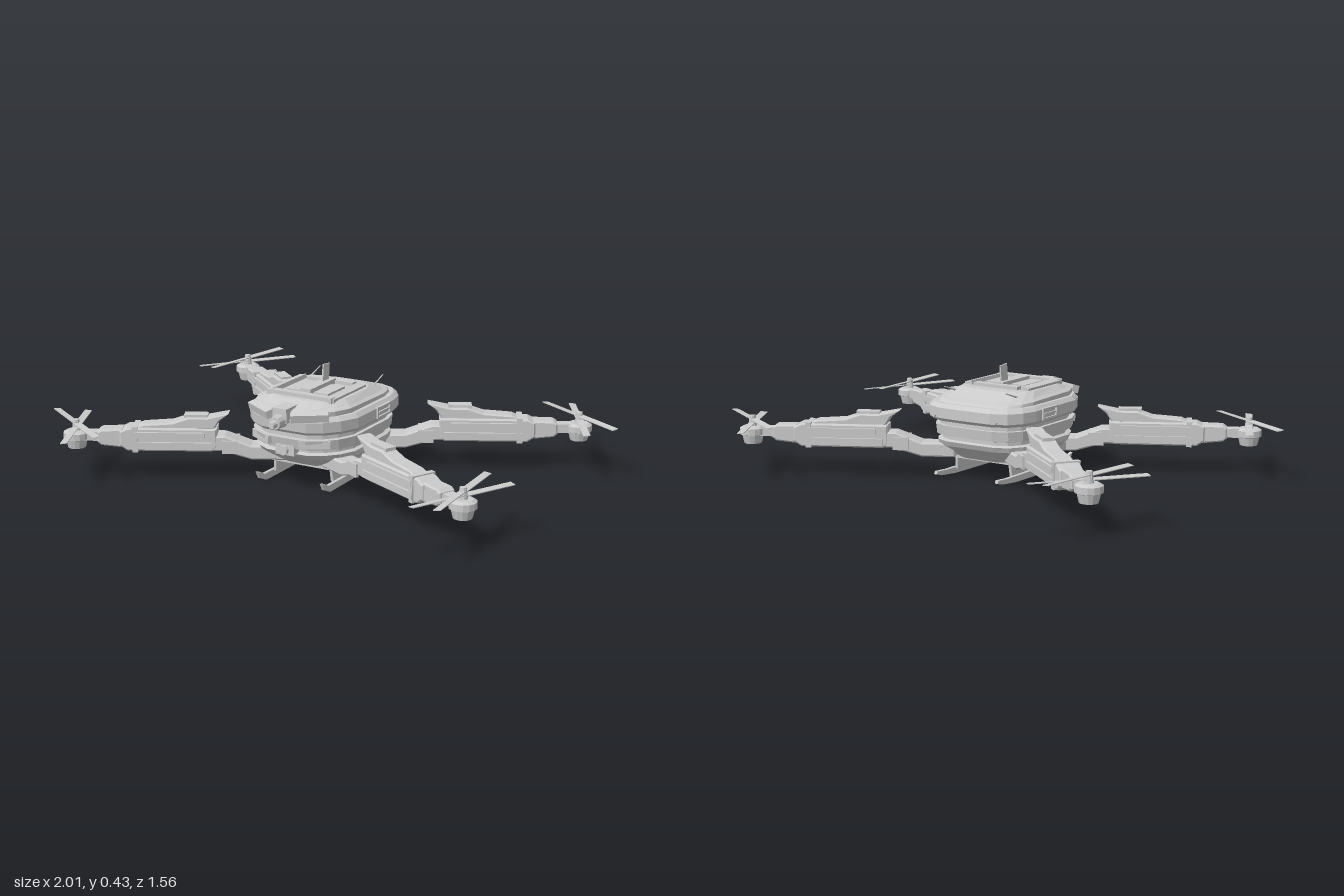
import * as THREE from 'three';

const mat = new THREE.MeshStandardMaterial({ color: 0xcccccc, flatShading: true, side: THREE.DoubleSide });

function add(parent, name, geo, x = 0, y = 0, z = 0) {
  const m = new THREE.Mesh(geo, mat);
  m.name = name;
  m.position.set(x, y, z);
  parent.add(m);
  return m;
}
const box = (parent, name, w, h, d, x, y, z) => add(parent, name, new THREE.BoxGeometry(w, h, d), x, y, z);

// Side profile in x/y, extruded to a centred width with a small chamfer
function slab(points, width, bevel = 0.006) {
  const shape = new THREE.Shape(points.map(p => new THREE.Vector2(p[0], p[1])));
  const depth = width - 2 * bevel;
  return new THREE.ExtrudeGeometry(shape, {
    depth, bevelEnabled: bevel > 0, bevelSize: bevel, bevelThickness: bevel, bevelOffset: -bevel, bevelSegments: 1,
  }).translate(0, 0, -depth / 2);
}

// Half plan of the hull (x, z), mirrored into a closed outline
const half = [[0, 1], [0.42, 0.99], [0.66, 0.88], [0.86, 0.7], [1, 0.45], [1, -0.5], [0.93, -0.72], [0.77, -0.9], [0.5, -0.99], [0, -1]];
const plan = [...half, ...half.slice(1, -1).reverse().map(([x, z]) => [-x, z])];

// Stacked rings [y, half width, front z, back z, rearDrop] joined into a closed hull
function loft(rings) {
  const pts = rings.map(([y, w, f, b, drop = 0]) => plan.map(([u, v]) =>
    [u * w, y - drop * Math.max(0, -v), (f + b) / 2 + v * (f - b) / 2]));
  const n = plan.length, pos = [];
  for (let i = 0; i < rings.length - 1; i++) for (let j = 0; j < n; j++) {
    const k = (j + 1) % n, a = pts[i][j], b = pts[i][k], c = pts[i + 1][k], d = pts[i + 1][j];
    pos.push(...a, ...b, ...c, ...a, ...c, ...d);
  }
  const lo = pts[0], hi = pts[pts.length - 1];
  for (let j = 1; j < n - 1; j++) {
    pos.push(...lo[0], ...lo[j + 1], ...lo[j]);
    pos.push(...hi[0], ...hi[j], ...hi[j + 1]);
  }
  const g = new THREE.BufferGeometry();
  g.setAttribute('position', new THREE.Float32BufferAttribute(pos, 3));
  g.computeVertexNormals();
  return g;
}

function makeBody() {
  const body = new THREE.Group();
  body.name = 'body';
  body.position.x = -0.02;
  add(body, 'lowerHull', loft([
    [0.075, 0.14, 0.23, -0.1], [0.1, 0.185, 0.27, -0.13], [0.13, 0.21, 0.32, -0.17], [0.15, 0.21, 0.34, -0.18],
    [0.155, 0.195, 0.32, -0.165], [0.168, 0.195, 0.32, -0.165], [0.173, 0.212, 0.35, -0.185], [0.212, 0.215, 0.36, -0.19],
  ]));
  add(body, 'waist', loft([[0.21, 0.2, 0.335, -0.175], [0.24, 0.2, 0.335, -0.175]]));
  add(body, 'upperHull', loft([
    [0.232, 0.218, 0.35, -0.2], [0.245, 0.23, 0.365, -0.215], [0.285, 0.23, 0.37, -0.215], [0.3, 0.215, 0.36, -0.2],
  ]));
  add(body, 'canopy', loft([
    [0.298, 0.2, 0.36, -0.19], [0.318, 0.2, 0.36, -0.17, 0.01], [0.325, 0.185, 0.33, -0.14, 0.01], [0.342, 0.16, 0.28, -0.06],
  ]));
  // Raised frame, hatch and spine on the roof
  box(body, 'roofSpine', 0.045, 0.03, 0.19, 0, 0.347, 0.11);
  box(body, 'roofFrontBar', 0.28, 0.022, 0.03, 0, 0.345, 0.24);
  box(body, 'roofRearBar', 0.2, 0.02, 0.03, 0, 0.345, 0.01);
  box(body, 'antennaFin', 0.006, 0.07, 0.045, 0, 0.39, 0.055).rotation.x = -0.1;
  for (const s of [-1, 1]) {
    box(body, 'roofRail', 0.032, 0.024, 0.24, s * 0.13, 0.343, 0.125).rotation.z = -s * 0.2;
    box(body, 'roofHatch', 0.06, 0.012, 0.13, s * 0.06, 0.345, 0.13);
    const w = add(body, 'whisker', new THREE.CylinderGeometry(0.002, 0.004, 0.09, 6), s * 0.14, 0.34, -0.1);
    w.rotation.x = -1.25;
    box(body, 'rearPin', 0.005, 0.005, 0.06, s * 0.14, 0.25, -0.185);
    // Framed vent on each flank
    for (const y of [0.248, 0.285]) box(body, 'ventFrame', 0.012, 0.008, 0.1, s * 0.231, y, 0.02);
    for (const z of [-0.027, 0.067]) box(body, 'ventFrame', 0.012, 0.045, 0.008, s * 0.231, 0.267, z);
    box(body, 'ventSlat', 0.01, 0.007, 0.08, s * 0.231, 0.266, 0.02);
    // Angled brow plates either side of the camera
    const brow = box(body, 'browPlate', 0.14, 0.03, 0.03, s * 0.105, 0.305, 0.35);
    brow.rotation.set(0.3, s * 0.5, -s * 0.12);
    const cheek = box(body, 'cheekPlate', 0.12, 0.03, 0.03, s * 0.11, 0.195, 0.325);
    cheek.rotation.y = s * 0.5;
  }
  // Nose camera and lower sensor
  box(body, 'cameraMount', 0.06, 0.055, 0.09, 0, 0.305, 0.345);
  add(body, 'cameraHousing', new THREE.CylinderGeometry(0.024, 0.028, 0.05, 10).rotateX(Math.PI / 2), 0, 0.285, 0.4);
  add(body, 'cameraLens', new THREE.CylinderGeometry(0.012, 0.016, 0.025, 10).rotateX(Math.PI / 2), 0, 0.282, 0.435);
  box(body, 'sensorBlock', 0.08, 0.04, 0.04, 0, 0.165, 0.335);
  add(body, 'sensorLens', new THREE.CylinderGeometry(0.018, 0.018, 0.02, 10).rotateX(Math.PI / 2), 0, 0.165, 0.36);
  // Belly plate and yoke that carries the arms
  box(body, 'bellyPlate', 0.28, 0.014, 0.32, 0, 0.076, 0.07);
  box(body, 'armYoke', 0.38, 0.03, 0.3, 0, 0.1, 0.07);

  // Landing skids with upturned ends
  for (const s of [-1, 1]) {
    const skid = new THREE.Group();
    skid.name = 'skid';
    skid.position.x = s * 0.14;
    body.add(skid);
    const runner = slab([[-0.33, 0.048], [-0.315, 0.045], [-0.285, 0.03], [0.14, 0.03], [0.2, 0.034], [0.205, 0.022],
      [0.17, 0.012], [0.08, 0.004], [-0.27, 0], [-0.315, 0.02]], 0.014, 0.002);
    add(skid, 'runner', runner.rotateY(Math.PI / 2));
    const strut = slab([[-0.23, 0.085], [0.09, 0.085], [0.085, 0.025], [-0.225, 0.025]], 0.012, 0.002);
    add(skid, 'strutPlate', strut.rotateY(Math.PI / 2), -s * 0.012).rotation.z = s * 0.08;
  }
  return body;
}

// Arm with its outer end at the local origin, running inwards along -x
function makeArm(x, z, dx, dz) {
  const arm = new THREE.Group();
  arm.name = 'arm';
  arm.position.set(x, 0, z);
  arm.rotation.y = Math.atan2(-dz, dx);
  add(arm, 'armRoot', slab([[-0.8, 0.08], [-0.67, 0.08], [-0.56, 0.112], [-0.48, 0.112], [-0.48, 0.172], [-0.57, 0.172],
    [-0.67, 0.135], [-0.8, 0.135]], 0.085));
  add(arm, 'armCasing', slab([[-0.54, 0.125], [-0.52, 0.11], [-0.2, 0.11], [-0.17, 0.13], [-0.17, 0.185], [-0.2, 0.2],
    [-0.54, 0.2]], 0.088));
  add(arm, 'armFairing', slab([[-0.585, 0.256], [-0.5, 0.24], [-0.43, 0.24], [-0.37, 0.22], [-0.26, 0.212], [-0.22, 0.195],
    [-0.53, 0.195], [-0.55, 0.228]], 0.066));
  for (const s of [-1, 1]) {
    box(arm, 'sideRail', 0.27, 0.02, 0.014, -0.36, 0.176, s * 0.047);
    box(arm, 'sideRail', 0.3, 0.026, 0.014, -0.37, 0.134, s * 0.046);
    box(arm, 'rootClamp', 0.06, 0.05, 0.012, -0.59, 0.13, s * 0.044);
  }
  box(arm, 'topHatch', 0.09, 0.012, 0.045, -0.46, 0.243, 0);
  box(arm, 'armCollar', 0.022, 0.098, 0.1, -0.23, 0.156, 0);
  add(arm, 'outerSleeve', slab([[-0.18, 0.12], [-0.1, 0.128], [-0.085, 0.14], [-0.085, 0.18], [-0.1, 0.19], [-0.18, 0.192]], 0.07));
  box(arm, 'motorBeam', 0.12, 0.035, 0.045, -0.05, 0.16, 0);
  return arm;
}

// Motor pod with two stacked two-bladed propellers
function makeRotor(x, z, upper, lower) {
  const rotor = new THREE.Group();
  rotor.name = 'rotor';
  rotor.position.set(x, 0, z);
  const pod = [[0, 0.11], [0.034, 0.112], [0.042, 0.145], [0.05, 0.148], [0.05, 0.172], [0.036, 0.18], [0, 0.18]];
  add(rotor, 'motorPod', new THREE.LatheGeometry(pod.map(p => new THREE.Vector2(...p)), 14));
  add(rotor, 'propHub', new THREE.CylinderGeometry(0.012, 0.018, 0.046, 10), 0, 0.198, 0);
  [[upper, 0.207], [lower, 0.192]].forEach(([[dx, dz], y]) => {
    const prop = new THREE.Group();
    prop.name = 'propeller';
    prop.position.y = y;
    prop.rotation.y = Math.atan2(-dz, dx);
    rotor.add(prop);
    for (const s of [-1, 1]) box(prop, 'blade', 0.21, 0.003, 0.027, s * 0.112, 0, 0).rotation.x = s * 0.12;
  });
  return rotor;
}

export function createModel() {
  const drone = new THREE.Group();
  drone.name = 'quadcopter';
  drone.add(makeBody());
  // Motor x, z; arm direction; upper and lower propeller directions
  const corners = [
    [0.805, 0.55, [113, 55], [2, 40], [18, -37]],
    [-0.815, 0.575, [-108, 57], [34, 21], [17, 35]],
    [-0.78, -0.57, [-102, -82], [7, -40], [25, -32]],
    [0.805, -0.47, [120, -63], [35, 20], [20, 35]],
  ];
  for (const [x, z, dir, upper, lower] of corners) {
    drone.add(makeArm(x, z, ...dir));
    drone.add(makeRotor(x, z, upper, lower));
  }
  return drone;
}
